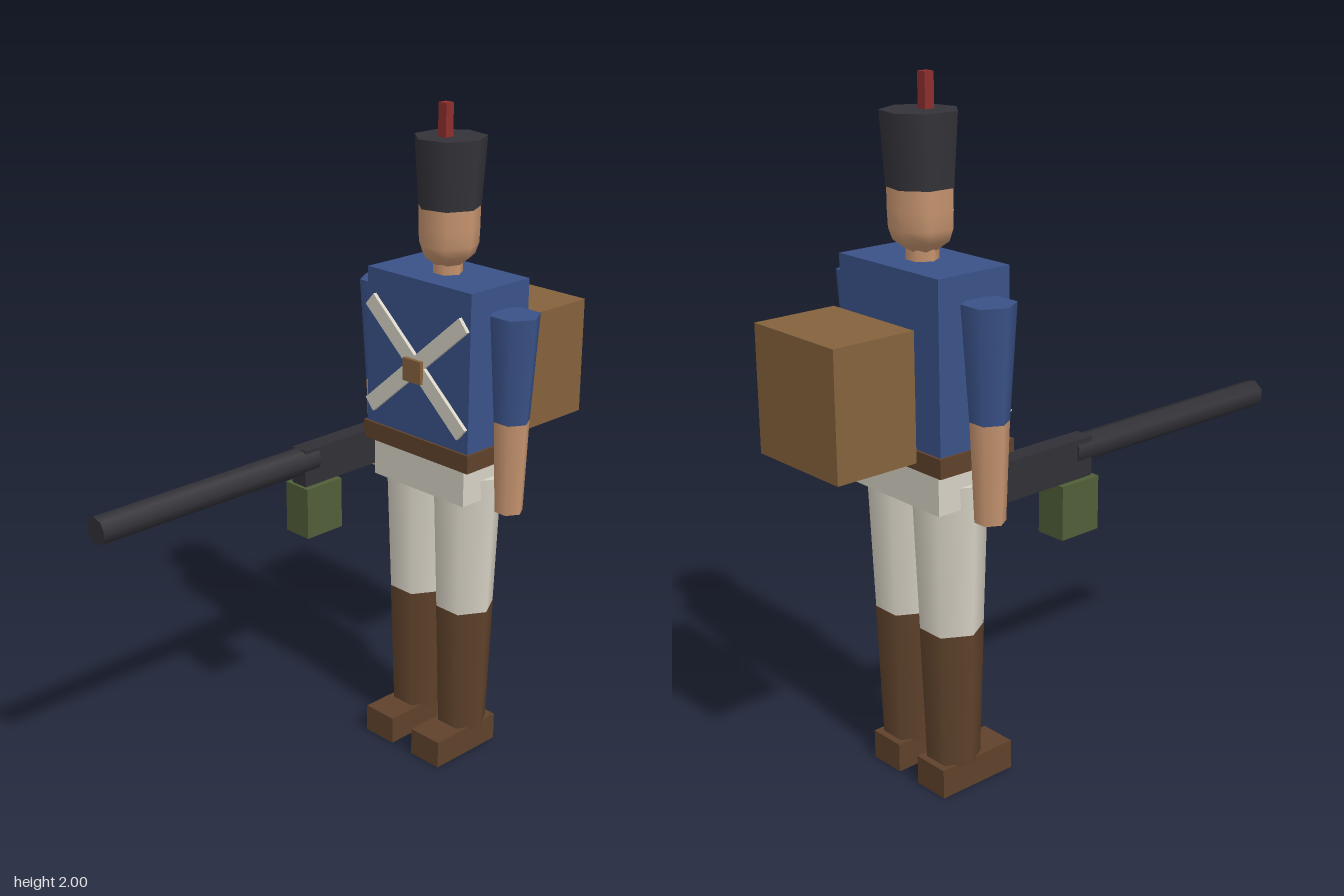
import * as THREE from 'three';

const mat = (name, color) => {
  const m = new THREE.MeshStandardMaterial({ color });
  m.name = name;
  return m;
};

export function createModel() {
  const blue = mat('coat blue', 0x3a5288);
  const white = mat('trouser white', 0xd6d1c4);
  const boot = mat('boot brown', 0x5f422b);
  const tan = mat('pack tan', 0x85623c);
  const skin = mat('skin', 0xc6946f);
  const black = mat('hat black', 0x333339);
  const metal = mat('gun black', 0x303036);
  const red = mat('plume red', 0x8c2f2c);
  const green = mat('pouch green', 0x505e37);

  const model = new THREE.Group();
  model.name = 'soldier';
  const Z = -0.338; // depth of the body axis

  const add = (name, geo, material, x, y, z) => {
    const mesh = new THREE.Mesh(geo, material);
    mesh.name = name;
    mesh.position.set(x, y, z);
    model.add(mesh);
    return mesh;
  };
  // box given by its minimum and maximum on each axis
  const box = (name, m, [x0, x1], [y0, y1], [z0, z1]) =>
    add(name, new THREE.BoxGeometry(x1 - x0, y1 - y0, z1 - z0), m,
      (x0 + x1) / 2, (y0 + y1) / 2, (z0 + z1) / 2);
  // upright tapered prism with one corner pointing to +x
  const prism = (name, m, x, y0, y1, rBottom, rTop, sides) =>
    add(name, new THREE.CylinderGeometry(rTop, rBottom, y1 - y0, sides, 1, false, Math.PI / 2),
      m, x, (y0 + y1) / 2, Z);

  // trunk
  box('torso', blue, [-0.205, 0.205], [1.04, 1.515], [-0.458, -0.217]);
  box('belt', boot, [-0.213, 0.213], [0.985, 1.04], [-0.466, -0.209]);
  box('hips', white, [-0.183, 0.183], [0.868, 0.985], [-0.448, -0.227]);

  // crossed straps and buckle
  for (const s of [-1, 1]) {
    const strap = add('crossStrap', new THREE.BoxGeometry(0.495, 0.048, 0.012), white, 0, 1.26, -0.211);
    strap.rotation.z = s * 0.72;
  }
  box('buckle', tan, [-0.035, 0.035], [1.213, 1.282], [-0.21, -0.193]);

  // limbs, mirrored
  for (const s of [-1, 1]) {
    const side = s > 0 ? 'left' : 'right';
    prism(side + 'Sleeve', blue, s * 0.262, 1.13, 1.445, 0.054, 0.074, 6);
    prism(side + 'Forearm', skin, s * 0.262, 0.85, 1.135, 0.043, 0.054, 6);
    prism(side + 'Thigh', white, s * 0.0985, 0.49, 0.93, 0.09, 0.106, 6);
    prism(side + 'Boot', boot, s * 0.0985, 0.08, 0.49, 0.077, 0.091, 6);
    const xs = [s * 0.042, s * 0.157].sort((a, b) => a - b);
    box(side + 'Foot', boot, xs, [0, 0.087], [-0.425, -0.17]);
  }

  // head, neck and tall hat
  prism('neck', skin, 0, 1.5, 1.56, 0.045, 0.045, 6);
  const face = [[0, 1.535], [0.04, 1.54], [0.078, 1.568], [0.089, 1.6], [0.091, 1.65], [0.091, 1.715]];
  add('head', new THREE.LatheGeometry(face.map(p => new THREE.Vector2(...p)), 7, Math.PI / 2), skin, 0, 0, Z);
  prism('hat', black, 0, 1.708, 1.905, 0.093, 0.106, 7);
  box('plume', red, [-0.015, 0.015], [1.85, 2.0], [-0.333, -0.303]);

  // backpack
  box('backpack', tan, [-0.168, 0.168], [1.03, 1.385], [-0.76, -0.508]);

  // gun held in the right hand
  box('gunStock', metal, [-0.265, -0.207], [0.888, 1.002], [-0.3, 0.035]);
  const barrel = add('gunBarrel',
    new THREE.CylinderGeometry(0.041, 0.041, 0.78, 7, 1, false, Math.PI / 2), metal, -0.235, 0.964, 0.37);
  barrel.rotation.x = Math.PI / 2;
  box('pouch', green, [-0.283, -0.188], [0.73, 0.888], [-0.092, 0.045]);

  return model;
}
